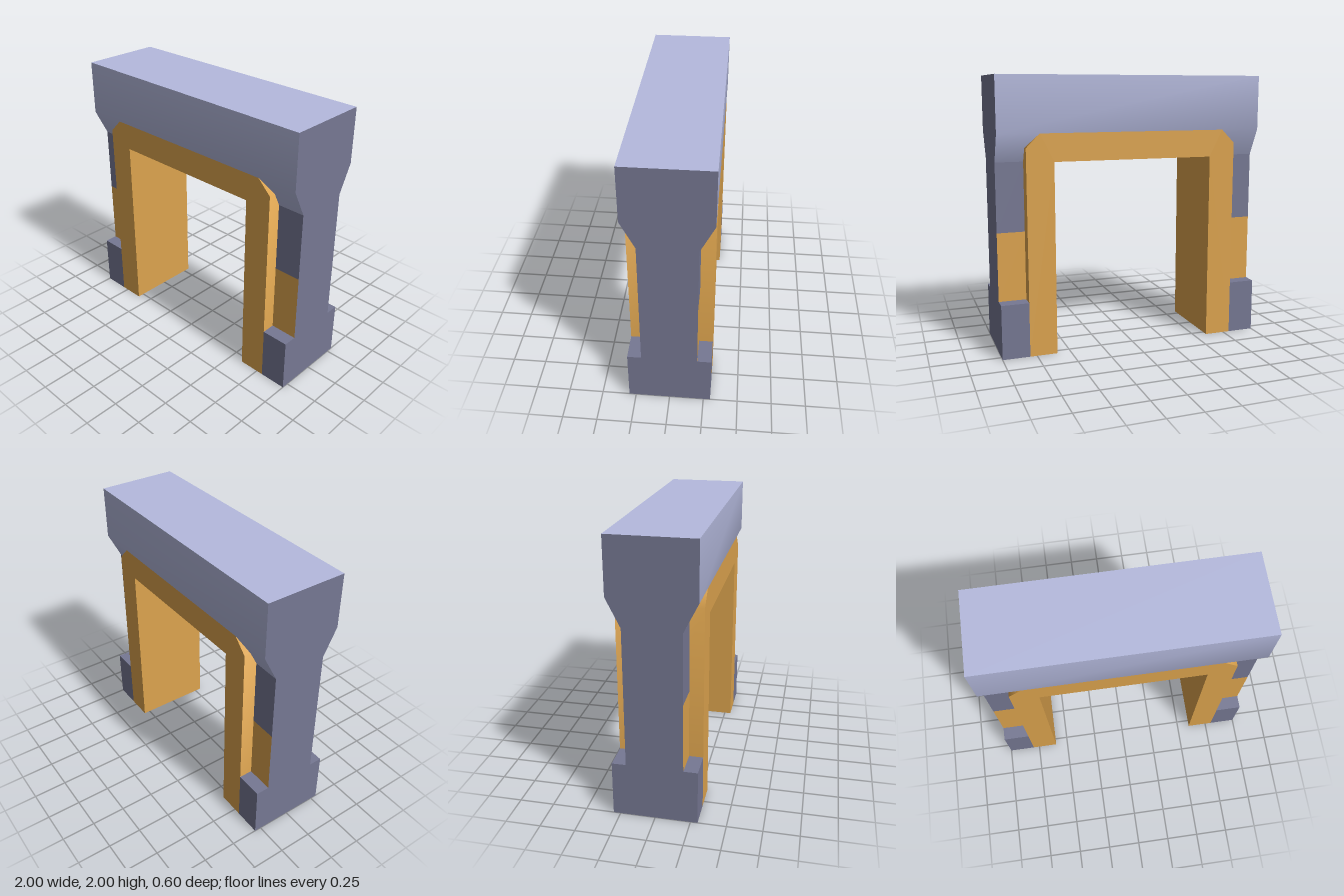
import * as THREE from 'three';
import { toCreasedNormals } from 'three/addons/utils/BufferGeometryUtils.js';

const material = (name, color) => {
  const m = new THREE.MeshStandardMaterial({ color });
  m.name = name;
  return m;
};

export function createModel() {
  const orange = material('orange', 0xdda44e);
  const slate = material('slate', 0x767893);
  const paleBlue = material('paleBlue', 0xb5bade);

  const model = new THREE.Group();
  model.name = 'gateway';
  const add = (name, geometry, mat, parent = model) => {
    const mesh = new THREE.Mesh(geometry, mat);
    mesh.name = name;
    parent.add(mesh);
    return mesh;
  };
  const outline = (points) => new THREE.Shape(points.map(([x, y]) => new THREE.Vector2(x, y)));

  // Door frame: an arch with chamfered upper corners
  const arch = outline([
    [-0.8, 0], [-0.6, 0], [-0.6, 1.4], [0.6, 1.4], [0.6, 0], [0.8, 0],
    [0.8, 1.5], [0.7, 1.6], [-0.7, 1.6], [-0.8, 1.5],
  ]);
  const frame = new THREE.ExtrudeGeometry(arch, { depth: 0.6, bevelEnabled: false });
  frame.translate(0, 0, -0.3);
  add('doorFrame', toCreasedNormals(frame, 0.9), orange);

  // Lintel: softly shaded skin over a tapered profile of [z, y] points, open below
  const profile = [[0.2, 1.4], [0.3, 1.6], [0.3, 2], [-0.3, 2], [-0.3, 1.6], [-0.2, 1.4]];
  const positions = [];
  for (let i = 0; i < profile.length - 1; i++) {
    const [z0, y0] = profile[i];
    const [z1, y1] = profile[i + 1];
    const a = [-1, y0, z0], b = [1, y0, z0], c = [1, y1, z1], d = [-1, y1, z1];
    positions.push(...a, ...b, ...c, ...a, ...c, ...d);
  }
  const skin = new THREE.BufferGeometry();
  skin.setAttribute('position', new THREE.Float32BufferAttribute(positions, 3));
  add('lintel', toCreasedNormals(skin, 0.9), paleBlue);

  // Lintel ends and stepped side posts
  for (const side of [1, -1]) {
    const end = add('lintelEnd', new THREE.ShapeGeometry(outline(profile)), slate);
    end.rotation.y = side * Math.PI / 2;
    end.position.x = side;

    const post = new THREE.Group();
    post.name = side > 0 ? 'leftPost' : 'rightPost';
    post.position.x = side * 0.9;
    model.add(post);
    const block = (name, y0, y1, depth, mat) => {
      add(name, new THREE.BoxGeometry(0.2, y1 - y0, depth), mat, post).position.y = (y0 + y1) / 2;
    };
    block('postFoot', 0, 0.4, 0.6, slate);
    // The band is coloured on the front and back faces only
    block('postBand', 0.4, 0.9, 0.4, [slate, slate, slate, slate, orange, orange]);
    block('postShaft', 0.9, 1.4, 0.4, slate);
  }

  return model;
}
